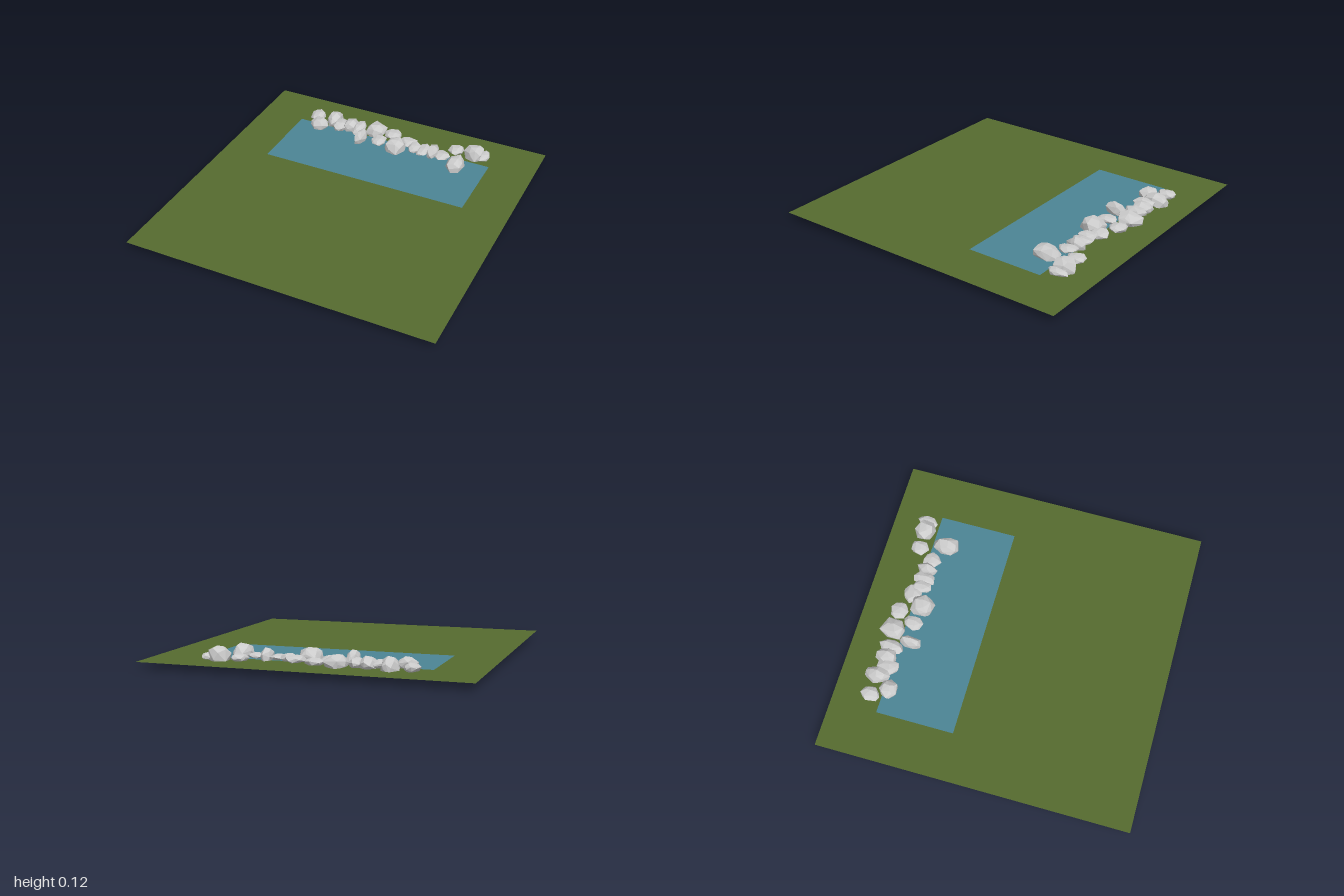
import * as THREE from 'three';
import { ConvexGeometry } from 'three/addons/geometries/ConvexGeometry.js';

const GROUND_Y = 0.042;

// Small seeded generator
function seeded(seed) {
  let s = seed;
  return () => (s = (s * 16807) % 2147483647) / 2147483647;
}

// Faceted boulder: convex hull of jittered sphere points, fitted to w x h x d
function stoneGeometry(w, h, d, random) {
  const points = [];
  const n = 26;
  for (let i = 0; i < n; i++) {
    const y = 1 - (2 * (i + 0.5)) / n;
    const a = i * 2.39996 + random() * 0.7;
    const r = Math.sqrt(1 - y * y);
    const k = 0.86 + random() * 0.24;
    points.push(new THREE.Vector3(r * Math.cos(a) * k, y * k, r * Math.sin(a) * k));
  }
  const box = new THREE.Box3().setFromPoints(points);
  const size = box.getSize(new THREE.Vector3());
  const centre = box.getCenter(new THREE.Vector3());
  const scale = new THREE.Vector3(w, h, d).divide(size);
  points.forEach((p) => p.sub(centre).multiply(scale));
  return new ConvexGeometry(points);
}

// Flat horizontal rectangle
function sheet(name, w, d, y, z, color) {
  const mesh = new THREE.Mesh(
    new THREE.PlaneGeometry(w, d).rotateX(-Math.PI / 2),
    new THREE.MeshStandardMaterial({ color, side: THREE.DoubleSide })
  );
  mesh.name = name;
  mesh.position.set(0, y, z);
  return mesh;
}

export function createModel() {
  const model = new THREE.Group();
  model.name = 'pondGarden';

  // Lawn and water surface
  model.add(sheet('lawn', 2, 2, GROUND_Y, 0, 0x556b2f));
  model.add(sheet('water', 1.4, 0.5, GROUND_Y + 0.001, -0.45, 0x4c8494));

  // Stones along the back edge of the water: x, z, width, depth, top height
  const stones = [
    [-0.6, -0.77, 0.1, 0.125, 0.09],
    [-0.54, -0.67, 0.13, 0.11, 0.105],
    [-0.47, -0.765, 0.11, 0.16, 0.12],
    [-0.4, -0.72, 0.11, 0.14, 0.09],
    [-0.335, -0.75, 0.11, 0.13, 0.11],
    [-0.265, -0.74, 0.09, 0.16, 0.095],
    [-0.205, -0.635, 0.075, 0.15, 0.12],
    [-0.145, -0.77, 0.13, 0.16, 0.11],
    [-0.08, -0.655, 0.1, 0.13, 0.085],
    [-0.02, -0.765, 0.12, 0.115, 0.085],
    [0.055, -0.63, 0.135, 0.145, 0.12],
    [0.115, -0.72, 0.13, 0.12, 0.085],
    [0.175, -0.675, 0.095, 0.125, 0.085],
    [0.24, -0.68, 0.08, 0.14, 0.08],
    [0.31, -0.68, 0.075, 0.135, 0.115],
    [0.38, -0.665, 0.11, 0.12, 0.08],
    [0.44, -0.77, 0.1, 0.12, 0.085],
    [0.5, -0.61, 0.115, 0.17, 0.12],
    [0.57, -0.78, 0.14, 0.14, 0.125],
    [0.64, -0.78, 0.075, 0.14, 0.085],
  ];
  const stoneMaterial = new THREE.MeshStandardMaterial({ color: 0xcccccc, flatShading: true });
  const random = seeded(4217);
  const rocks = new THREE.Group();
  rocks.name = 'stoneBorder';
  const middle = 0.063;
  for (const [x, z, w, d, top] of stones) {
    const rock = new THREE.Mesh(stoneGeometry(w, 2 * (top - middle), d, random), stoneMaterial);
    rock.name = 'stone';
    rock.position.set(x, middle, z);
    rocks.add(rock);
  }
  model.add(rocks);
  return model;
}
